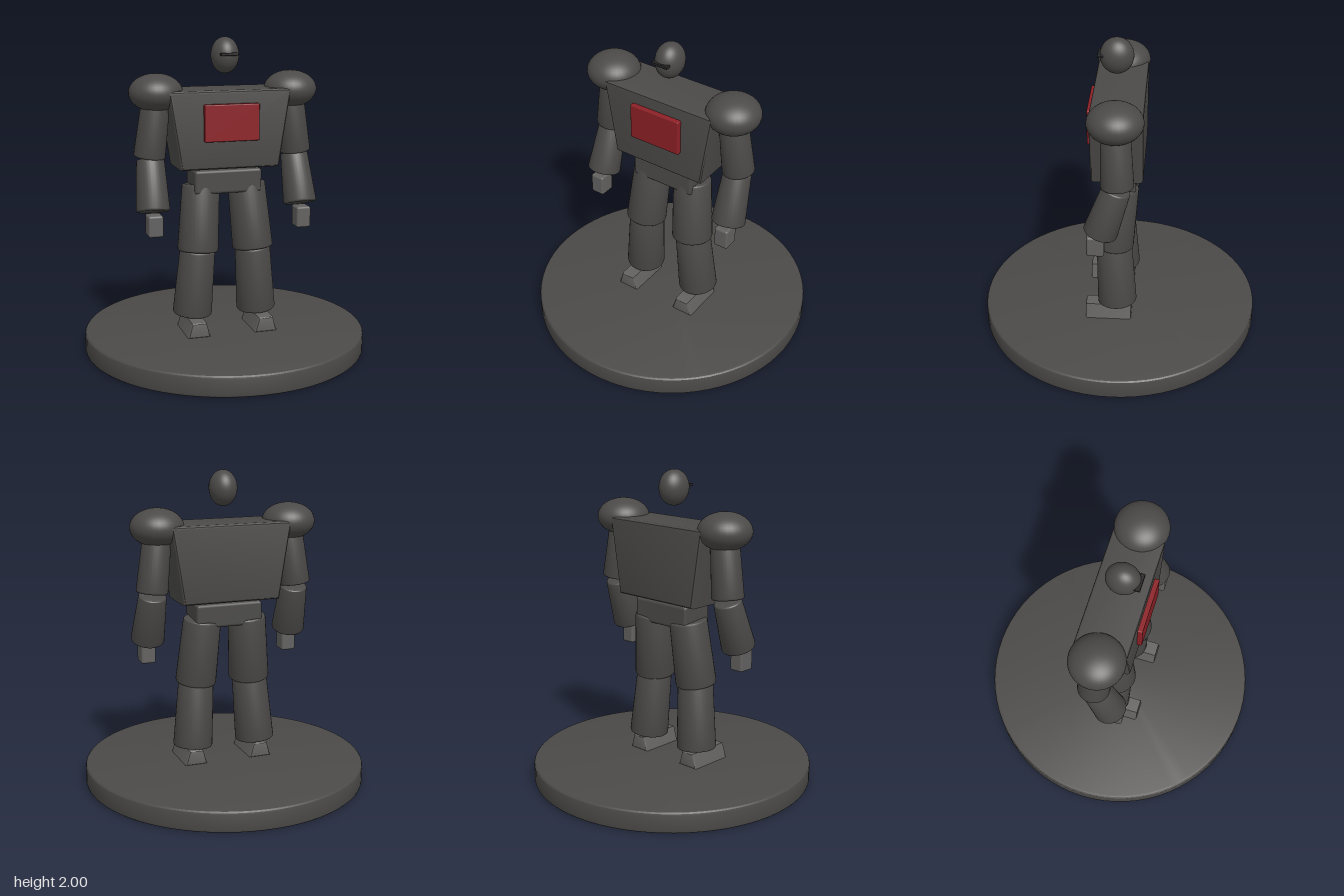
import * as THREE from 'three';
import { toCreasedNormals } from 'three/addons/utils/BufferGeometryUtils.js';
import { RoundedBoxGeometry } from 'three/addons/geometries/RoundedBoxGeometry.js';

const dark = new THREE.MeshStandardMaterial({ color: 0x4b4a48 });
const steel = new THREE.MeshStandardMaterial({ color: 0x626160 });
const black = new THREE.MeshStandardMaterial({ color: 0x252525 });
const red = new THREE.MeshStandardMaterial({ color: 0x8c2026 });

const V = (x, y, z) => new THREE.Vector3(x, y, z);

function add(parent, name, geometry, material, position = V(0, 0, 0)) {
  const mesh = new THREE.Mesh(geometry, material);
  mesh.name = name;
  mesh.position.copy(position);
  parent.add(mesh);
  return mesh;
}

// Upright tapered cylinder with rounded rims, centred on the origin
function roundedCylinder(rTop, rBottom, height, rim, segments) {
  const h = height / 2;
  const points = [new THREE.Vector2(0, -h)];
  for (let i = 0; i <= 3; i++) {
    const a = (i / 3) * Math.PI / 2;
    points.push(new THREE.Vector2(rBottom - rim + rim * Math.sin(a), -h + rim - rim * Math.cos(a)));
  }
  for (let i = 0; i <= 3; i++) {
    const a = (i / 3) * Math.PI / 2;
    points.push(new THREE.Vector2(rTop - rim + rim * Math.cos(a), h - rim + rim * Math.sin(a)));
  }
  points.push(new THREE.Vector2(0, h));
  return toCreasedNormals(new THREE.LatheGeometry(points, segments), 0.5);
}

// Limb segment running from one joint to the next
function limb(parent, name, from, to, rFrom, rTo) {
  const axis = from.clone().sub(to);
  const mid = from.clone().add(to).multiplyScalar(0.5);
  const mesh = add(parent, name, roundedCylinder(rFrom, rTo, axis.length(), 0.015, 32), dark, mid);
  mesh.quaternion.setFromUnitVectors(V(0, 1, 0), axis.normalize());
}

// Block with a trapezoid front and softened edges
function trapezoid(topHalf, bottomHalf, y0, y1, z0, z1, b) {
  const shape = new THREE.Shape([
    new THREE.Vector2(-bottomHalf + b, y0 + b),
    new THREE.Vector2(bottomHalf - b, y0 + b),
    new THREE.Vector2(topHalf - b, y1 - b),
    new THREE.Vector2(-topHalf + b, y1 - b),
  ]);
  const geometry = new THREE.ExtrudeGeometry(shape, {
    depth: z1 - z0 - 2 * b, bevelThickness: b, bevelSize: b, bevelSegments: 3,
  });
  geometry.translate(0, 0, z0 + b);
  return toCreasedNormals(geometry, 0.5);
}

function ellipsoid(rx, ry, rz) {
  return new THREE.SphereGeometry(1, 32, 24).scale(rx, ry, rz);
}

export function createModel() {
  const model = new THREE.Group();
  model.name = 'robotFigure';

  // Round stand
  add(model, 'base', roundedCylinder(0.9, 0.9, 0.135, 0.02, 72), dark, V(0, 0.0675, 0));

  // Trunk
  add(model, 'torso', trapezoid(0.39, 0.318, 1.195, 1.685, -0.16, 0.16, 0.02), dark);
  add(model, 'chestPlate', new RoundedBoxGeometry(0.35, 0.23, 0.04, 2, 0.008), red, V(0, 1.487, 0.17));
  add(model, 'pelvis', new RoundedBoxGeometry(0.435, 0.15, 0.22, 3, 0.018), dark, V(0, 1.107, 0));

  // Head with a narrow visor
  add(model, 'head', ellipsoid(0.087, 0.1125, 0.103), dark, V(0, 1.8875, 0.018));
  add(model, 'visor', new RoundedBoxGeometry(0.11, 0.018, 0.04, 2, 0.004), black, V(0, 1.898, 0.112));

  // Arms and legs, one set per side
  for (const [side, s] of [['left', 1], ['right', -1]]) {
    const arm = new THREE.Group();
    arm.name = side + 'Arm';
    add(arm, 'shoulder', ellipsoid(0.168, 0.117, 0.168), dark, V(s * 0.436, 1.667, 0));
    limb(arm, 'upperArm', V(s * 0.433, 1.64, 0), V(s * 0.479, 1.262, -0.015), 0.088, 0.1);
    limb(arm, 'forearm', V(s * 0.473, 1.25, -0.012), V(s * 0.482, 0.94, 0.09), 0.088, 0.106);
    add(arm, 'hand', new RoundedBoxGeometry(0.094, 0.135, 0.108, 3, 0.014), steel, V(s * 0.481, 0.861, 0.117));

    const leg = new THREE.Group();
    leg.name = side + 'Leg';
    limb(leg, 'thigh', V(s * 0.15, 1.077, -0.01), V(s * 0.183, 0.654, 0.032), 0.12, 0.13);
    limb(leg, 'shin', V(s * 0.183, 0.665, 0.025), V(s * 0.215, 0.237, 0.003), 0.113, 0.126);
    add(leg, 'foot', trapezoid(0.05, 0.072, 0.13, 0.23, -0.09, 0.208, 0.014), steel, V(s * 0.22, 0, 0));
    model.add(arm, leg);
  }

  return model;
}
